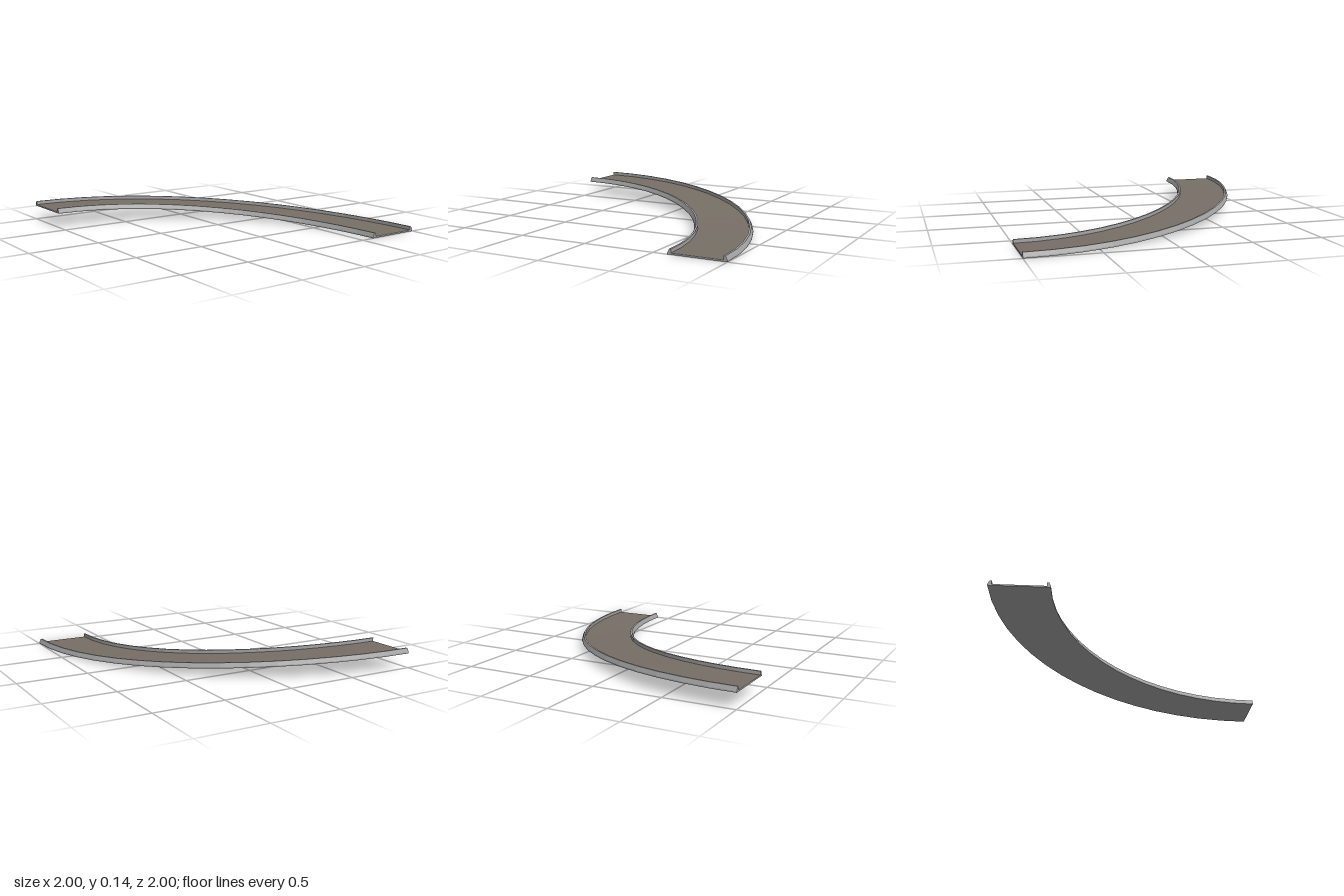
import * as THREE from 'three';

const SEGMENTS = 16;

// Kerb section as [distance in from edge, height], with a sloping outer face
const KERB = [[0, 0], [0, 0.009], [0.013, 0.036], [0.026, 0.036], [0.026, 0.01]];

// Place a section point (radius, height) on the rising quarter bend
function place(r, h, i) {
  const a = (i / SEGMENTS) * Math.PI / 2;
  const rise = 0.104 * Math.sin(a) ** 2;
  return [-1 + r * Math.cos(a), h + rise, 1 - r * Math.sin(a)];
}

// Sweep consecutive section points along the bend, optionally closing its ends
function sweep(points, closed) {
  const pos = [];
  const tri = (a, b, c) => pos.push(...a, ...b, ...c);
  const edges = closed ? points.length : points.length - 1;
  for (let i = 0; i < SEGMENTS; i++) {
    for (let k = 0; k < edges; k++) {
      const p = points[k], q = points[(k + 1) % points.length];
      const a = place(...p, i), b = place(...q, i);
      const c = place(...q, i + 1), d = place(...p, i + 1);
      tri(a, c, b);
      tri(a, d, c);
    }
  }
  if (closed) {
    const outline = points.map(p => new THREE.Vector2(...p));
    for (const [a, b, c] of THREE.ShapeUtils.triangulateShape(outline, [])) {
      const at = (k, i) => place(...points[k], i);
      tri(at(a, 0), at(b, 0), at(c, 0));
      tri(at(a, SEGMENTS), at(c, SEGMENTS), at(b, SEGMENTS));
    }
  }
  const g = new THREE.BufferGeometry();
  g.setAttribute('position', new THREE.Float32BufferAttribute(pos, 3));
  g.computeVertexNormals();
  return g;
}

export function createModel() {
  const group = new THREE.Group();
  group.name = 'curvedRamp';
  const kerbGrey = new THREE.MeshStandardMaterial({ color: 0xa4a4a4 });
  const deckBrown = new THREE.MeshStandardMaterial({ color: 0x776f66 });
  kerbGrey.name = 'kerbGrey';
  deckBrown.name = 'deckBrown';

  // Channel body: underside, both bevelled kerbs and end faces
  const outer = KERB.map(([d, h]) => [2 - d, h]);
  const inner = KERB.map(([d, h]) => [1.6 + d, h]).reverse();
  const body = new THREE.Mesh(sweep([...outer, ...inner], true), kerbGrey);
  body.name = 'kerbsAndUnderside';

  // Road surface laid just above the channel floor
  const deck = new THREE.Mesh(sweep([[1.974, 0.0115], [1.626, 0.0115]], false), deckBrown);
  deck.name = 'roadSurface';

  group.add(body, deck);
  return group;
}
